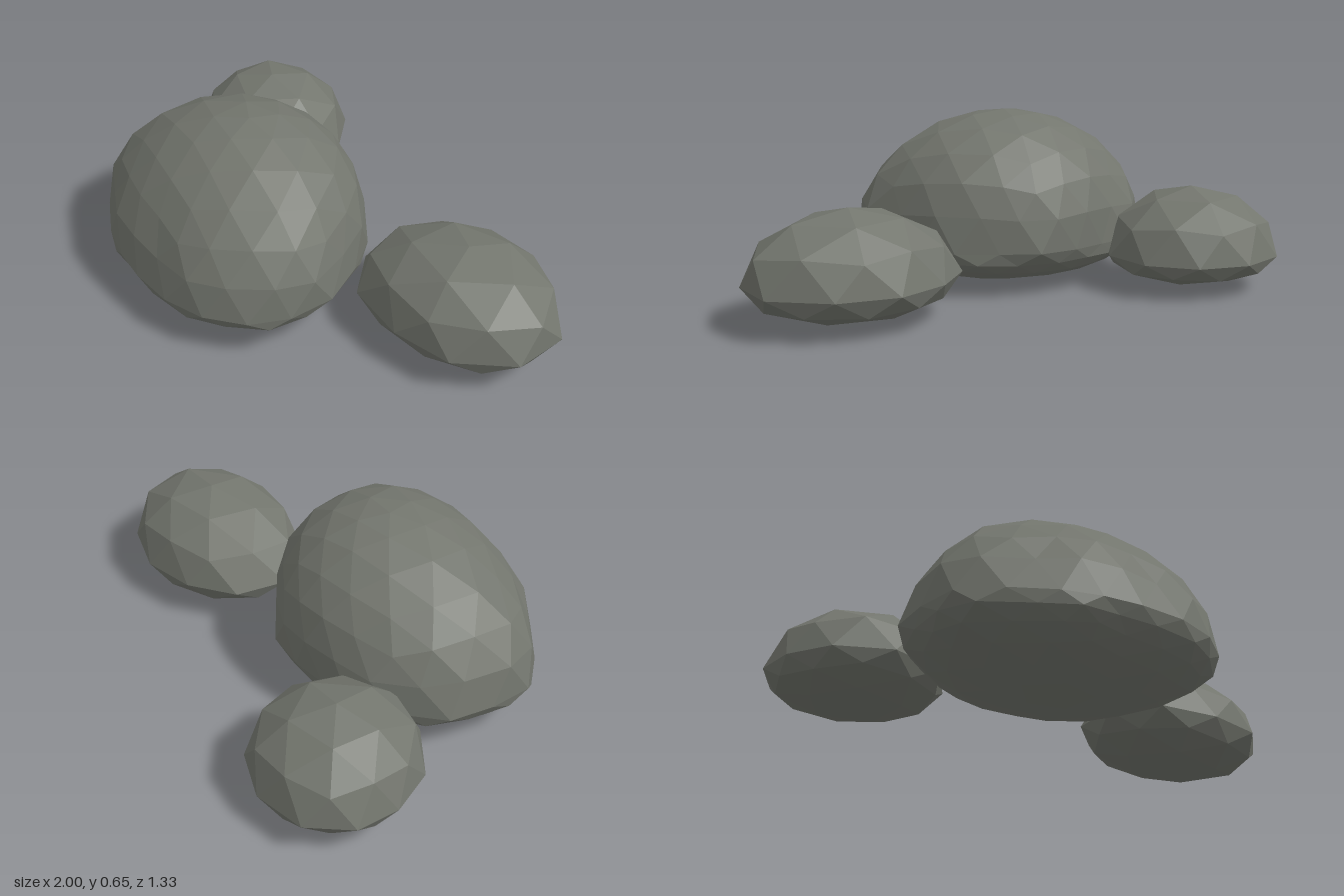
import * as THREE from 'three';

// One faceted boulder: an icosphere standing on a corner, fitted to a ground
// outline, with a tall dome above its widest line and a shallow belly below.
function boulder(name, material, { detail, center, outline, waist, up, down, lean, rough }) {
  const geo = new THREE.IcosahedronGeometry(1, detail);
  geo.rotateZ(-Math.atan(2 / (1 + Math.sqrt(5))));
  // ten [x, z] points, 36 degrees apart, the first at 18 degrees from +x to +z
  const rim = new THREE.CatmullRomCurve3(
    outline.map(([x, z]) => new THREE.Vector3(x - center[0], 0, z - center[1])), true);
  const pos = geo.attributes.position;
  const p = new THREE.Vector3();
  for (let i = 0; i < pos.count; i++) {
    p.fromBufferAttribute(pos, i);
    const turn = (Math.atan2(p.z, p.x) / (2 * Math.PI) - 0.05 + 2) % 1;
    const r = Math.hypot(p.x, p.z);
    const edge = rim.getPoint(turn);
    const bump = 1 + rough * Math.sin(7 * p.x + 3 * p.y) * Math.sin(6 * p.z - 4 * p.y + 1) * (1 - Math.abs(p.y));
    const rise = Math.max(p.y, 0);
    pos.setXYZ(i,
      center[0] + edge.x * r * bump + lean[0] * rise,
      waist + p.y * (p.y > 0 ? up : down),
      center[1] + edge.z * r * bump + lean[1] * rise);
  }
  geo.computeVertexNormals();
  const mesh = new THREE.Mesh(geo, material);
  mesh.name = name;
  return mesh;
}

export function createModel() {
  const stone = new THREE.MeshStandardMaterial({ color: 0x73766e, flatShading: true });
  stone.name = 'grey stone';

  const group = new THREE.Group();
  group.name = 'boulders';
  group.add(
    boulder('largeBoulder', stone, {
      detail: 3, center: [-0.22, 0.2], waist: 0.17, up: 0.48, down: 0.17, lean: [0.04, -0.05], rough: 0.04,
      outline: [[0.33, 0.38], [0.12, 0.61], [-0.21, 0.66], [-0.49, 0.595], [-0.76, 0.38],
        [-0.755, 0.05], [-0.51, -0.2], [-0.235, -0.265], [0.06, -0.2], [0.28, 0.03]],
    }),
    boulder('leftBoulder', stone, {
      detail: 1, center: [0.61, -0.165], waist: 0.15, up: 0.25, down: 0.135, lean: [0.03, 0], rough: 0,
      outline: [[1, -0.07], [0.83, 0.1], [0.6, 0.14], [0.36, 0.1], [0.23, -0.06],
        [0.25, -0.26], [0.4, -0.4], [0.6, -0.47], [0.82, -0.43], [1, -0.28]],
    }),
    boulder('rearBoulder', stone, {
      detail: 1, center: [-0.69, -0.36], waist: 0.13, up: 0.25, down: 0.11, lean: [0, 0], rough: 0,
      outline: [[-0.38, -0.27], [-0.5, -0.1], [-0.71, -0.04], [-0.9, -0.14], [-0.99, -0.3],
        [-1, -0.46], [-0.9, -0.61], [-0.71, -0.67], [-0.52, -0.62], [-0.39, -0.47]],
    }),
  );
  return group;
}
